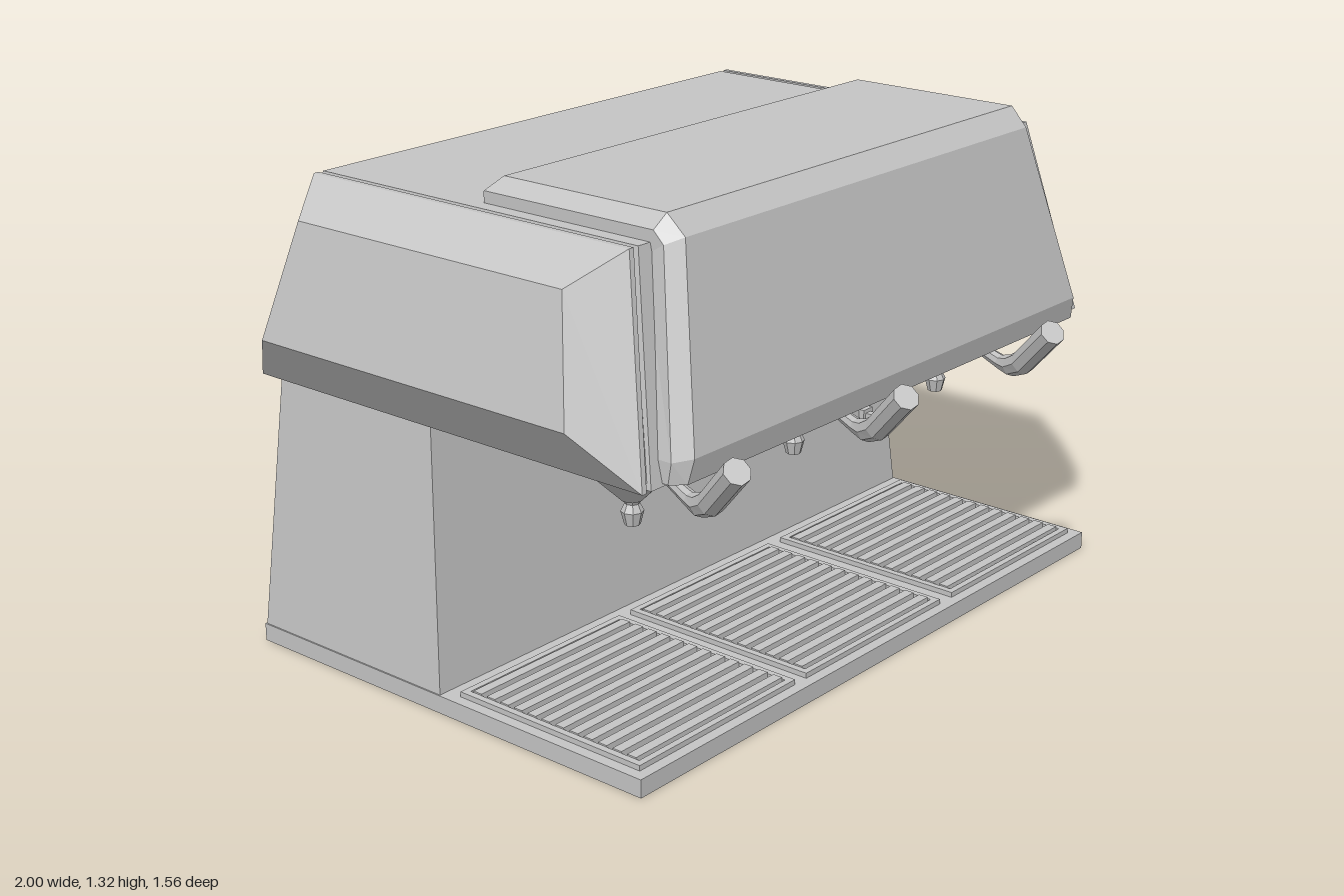
import * as THREE from 'three';

const steel = new THREE.MeshStandardMaterial({ color: 0xc4c4c4 });
steel.name = 'steel grey';

// Faceted solid through rings of [x, y, z] points, closed at both ends
function loft(rings) {
  const tris = [];
  const n = rings[0].length;
  for (let r = 0; r < rings.length - 1; r++) {
    for (let i = 0; i < n; i++) {
      const j = (i + 1) % n, a = rings[r], b = rings[r + 1];
      tris.push([a[i], a[j], b[j]], [a[i], b[j], b[i]]);
    }
  }
  const first = rings[0], last = rings[rings.length - 1];
  for (let i = 1; i < n - 1; i++) {
    tris.push([first[0], first[i + 1], first[i]], [last[0], last[i], last[i + 1]]);
  }
  // turn the faces outward when the rings run the other way
  let volume = 0;
  for (const [a, b, c] of tris) {
    volume += a[0] * (b[1] * c[2] - b[2] * c[1]) + a[1] * (b[2] * c[0] - b[0] * c[2]) + a[2] * (b[0] * c[1] - b[1] * c[0]);
  }
  const points = tris.flatMap(([a, b, c]) => (volume < 0 ? [a, c, b] : [a, b, c])).flat();
  const g = new THREE.BufferGeometry();
  g.setAttribute('position', new THREE.Float32BufferAttribute(points, 3));
  g.computeVertexNormals();
  return g;
}

function add(parent, name, geometry, x = 0, y = 0, z = 0) {
  const mesh = new THREE.Mesh(geometry, steel);
  mesh.name = name;
  mesh.position.set(x, y, z);
  parent.add(mesh);
  return mesh;
}

function addBox(parent, name, x0, x1, y0, y1, z0, z1) {
  return add(parent, name, new THREE.BoxGeometry(x1 - x0, y1 - y0, z1 - z0),
    (x0 + x1) / 2, (y0 + y1) / 2, (z0 + z1) / 2);
}

function facetedLathe(profile, sides) {
  const g = new THREE.LatheGeometry(profile.map(([r, y]) => new THREE.Vector2(r, y)), sides).toNonIndexed();
  g.computeVertexNormals();
  return g;
}

// Trapezoid section of the upper housing, leaning outward towards the bottom
function housingRing(side, x, inset = 0) {
  return [
    [side * x, 1.255 - inset, 0.39 - inset],
    [side * x, 1.255 - inset, -0.66 + inset],
    [side * (x + 0.1), 0.728 + inset, -0.785 + inset],
    [side * (x + 0.1), 0.728 + inset, 0.51 - inset],
  ];
}

const rect = (x, y, z0, z1) => [[-x, y, z0], [x, y, z0], [x, y, z1], [-x, y, z1]];

function createHousing() {
  const g = new THREE.Group();
  g.name = 'housing';
  add(g, 'housingBody', loft([housingRing(-1, 0.77), housingRing(1, 0.77)]));
  add(g, 'grooveCore', loft([housingRing(-1, 0.79, 0.015), housingRing(1, 0.79, 0.015)]));
  for (const s of [-1, 1]) {
    const panel = [[s * 0.93, 1.175, 0.306], [s * 0.93, 1.175, -0.575], [s, 0.87, -0.655], [s, 0.87, 0.37]];
    add(g, s > 0 ? 'leftSideCap' : 'rightSideCap', loft([housingRing(s, 0.785), housingRing(s, 0.8), panel]));
  }

  // Raised front hood: [x, y, z] sections at the root, bevel edge and face
  const root = [[0.73, 1.24, -0.135], [0.73, 1.242, -0.135], [0.73, 1.24, -0.13], [0.73, 1.24, 0.36],
    [0.73, 1.22, 0.37], [0.83, 0.79, 0.47], [0.83, 0.735, 0.47], [0.83, 0.735, 0.4]];
  const edge = [[0.73, 1.24, -0.135], [0.73, 1.283, -0.135], [0.73, 1.285, -0.134], [0.73, 1.285, 0.4],
    [0.73, 1.255, 0.43], [0.83, 0.79, 0.535], [0.83, 0.735, 0.525], [0.83, 0.735, 0.4]];
  const face = [[0.7, 1.24, -0.135], [0.7, 1.285, -0.135], [0.695, 1.32, -0.1], [0.695, 1.32, 0.41],
    [0.69, 1.27, 0.46], [0.79, 0.797, 0.57], [0.8, 0.735, 0.558], [0.8, 0.735, 0.4]];
  const mirror = (ring) => ring.map(([x, y, z]) => [-x, y, z]);
  add(g, 'frontHood', loft([mirror(root), mirror(edge), mirror(face), face, edge, root]));
  return g;
}

// Brewing head with spout and angled handle
function createBrewHead() {
  const g = new THREE.Group();
  g.name = 'brewHead';
  add(g, 'cup', facetedLathe([[0, 0.56], [0.028, 0.565], [0.105, 0.64], [0.13, 0.68], [0.13, 0.74]], 10));
  add(g, 'spout', facetedLathe([[0, 0.5], [0.02, 0.5], [0.029, 0.535], [0.019, 0.555], [0.028, 0.572]], 8));

  // handle stations: distance from the cup, height, radius
  const stations = [[0.1, 0.695, 0.018], [0.16, 0.695, 0.018], [0.19, 0.692, 0.014], [0.33, 0.682, 0.02],
    [0.38, 0.688, 0.029], [0.43, 0.712, 0.033], [0.56, 0.832, 0.034]];
  const rings = stations.map(([d, y, r], i) => {
    const a = stations[Math.max(i - 1, 0)], b = stations[Math.min(i + 1, stations.length - 1)];
    const angle = Math.atan2(b[1] - a[1], b[0] - a[0]);
    return Array.from({ length: 8 }, (_, k) => {
      const t = (k / 8) * Math.PI * 2, up = Math.sin(t) * r;
      return [Math.cos(t) * r, y + up * Math.cos(angle), d - up * Math.sin(angle)];
    });
  });
  add(g, 'handle', loft(rings)).rotation.y = -0.415;
  return g;
}

// Drip tray: rim, floor and slats along x
function createDripTray(x) {
  const g = new THREE.Group();
  g.name = 'dripTray';
  const h = 0.29, z0 = -0.08, z1 = 0.51, rim = 0.018;
  addBox(g, 'trayRimBack', -h, h, 0.045, 0.062, z0, z0 + rim);
  addBox(g, 'trayRimFront', -h, h, 0.045, 0.062, z1 - rim, z1);
  for (const s of [-1, 1]) {
    const e = s * (h - rim / 2);
    addBox(g, 'trayRimSide', e - rim / 2, e + rim / 2, 0.045, 0.062, z0 + rim, z1 - rim);
  }
  const count = 12, pitch = (z1 - z0 - 2 * rim) / count;
  for (let i = 0; i < count; i++) {
    const z = z0 + rim + (i + 0.5) * pitch;
    addBox(g, 'traySlat', -h + rim, h - rim, 0.045, 0.066, z - pitch * 0.3, z + pitch * 0.3);
  }
  g.position.x = x;
  return g;
}

export function createModel() {
  const model = new THREE.Group();
  model.name = 'espressoMachine';

  // Base plate and rear pillar
  addBox(model, 'basePlate', -0.95, 0.95, 0, 0.048, -0.78, 0.54);
  add(model, 'rearPillar', loft([rect(0.95, 0.002, -0.78, -0.122), rect(0.89, 0.735, -0.722, -0.18)]));

  model.add(createHousing());

  for (const x of [-0.63, -0.005, 0.63]) {
    const head = createBrewHead();
    head.position.set(x, 0, 0.235);
    model.add(head);
    model.add(createDripTray(x));
  }

  // Control knob on the pillar front
  const knob = new THREE.Group();
  knob.name = 'controlKnob';
  addBox(knob, 'knobBlock', -0.022, 0.022, -0.027, 0.027, -0.05, 0.012);
  addBox(knob, 'knobTip', -0.012, 0.012, -0.008, 0.016, 0.012, 0.048);
  knob.position.set(0.815, 0.28, -0.14);
  model.add(knob);

  return model;
}
